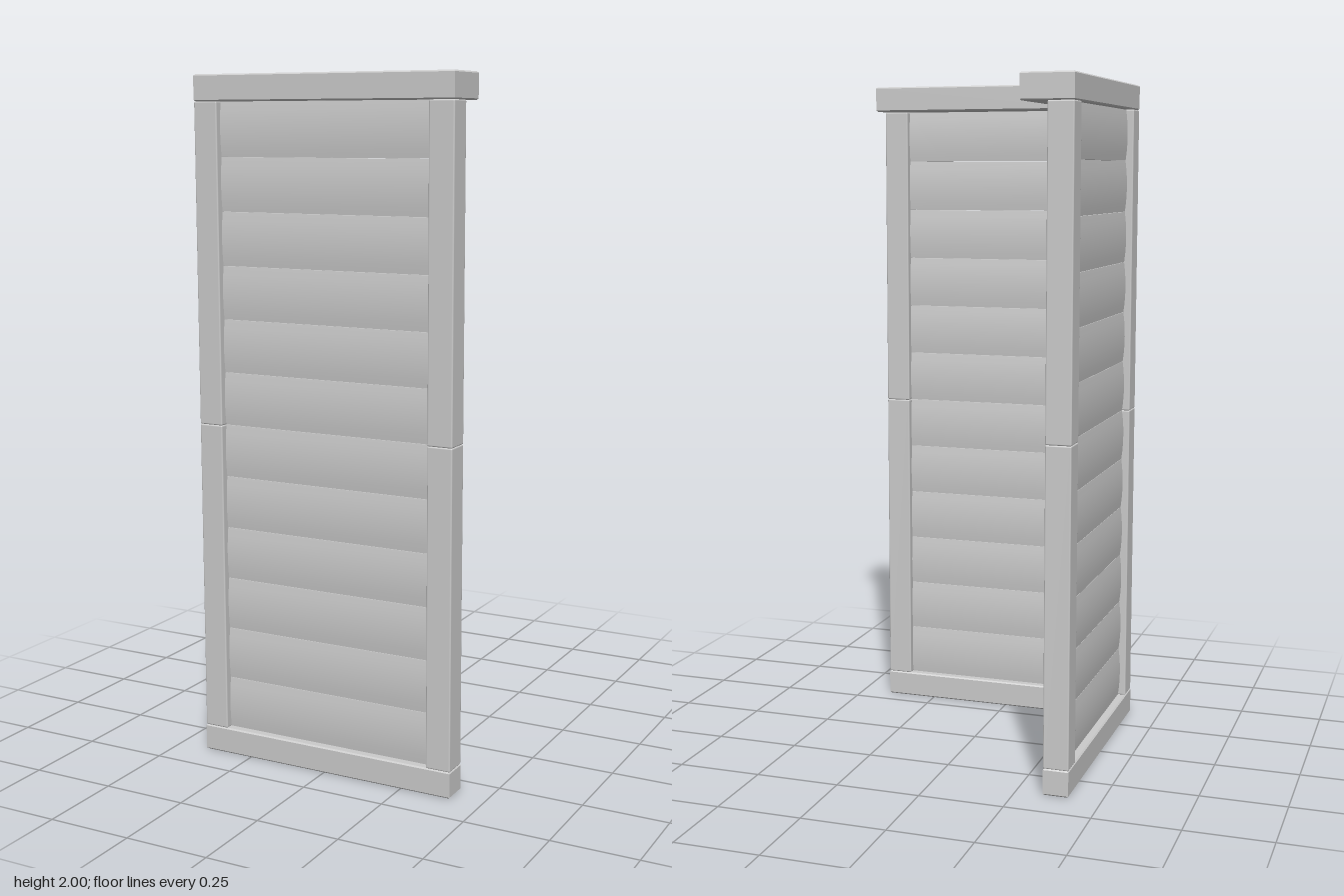
import * as THREE from 'three';
import { toCreasedNormals } from 'three/addons/utils/BufferGeometryUtils.js';
import { RoundedBoxGeometry } from 'three/addons/geometries/RoundedBoxGeometry.js';

const X = 0.405, Z = 0.385;        // half extents
const T = 0.075;                   // post thickness
const Y0 = 0.078, Y1 = 1.925;      // frame opening, bottom and top
const BOARDS = 12;
const BEVEL = 0.004;
const material = new THREE.MeshStandardMaterial({ color: 0xcccccc });

function add(group, name, geometry, x = 0, y = 0, z = 0) {
  const mesh = new THREE.Mesh(geometry, material);
  mesh.name = name;
  mesh.position.set(x, y, z);
  group.add(mesh);
  return mesh;
}

// L-shaped rail with softened edges, lying between two heights
function cornerRail(width, bottom, top) {
  const shape = new THREE.Shape([
    [-X, -Z], [-X + width, -Z], [-X + width, Z - width],
    [X, Z - width], [X, Z], [-X, Z],
  ].map(([x, z]) => new THREE.Vector2(x, z)));
  const geometry = new THREE.ExtrudeGeometry(shape, {
    depth: top - bottom - 2 * BEVEL, bevelEnabled: true, bevelSegments: 1,
    bevelSize: BEVEL, bevelOffset: -BEVEL, bevelThickness: BEVEL,
  });
  geometry.rotateX(Math.PI / 2).translate(0, top - BEVEL, 0);
  return toCreasedNormals(geometry, 0.6);
}

// Siding board running along z, both faces gently bulged
function boardGeometry(length, height) {
  const edge = 0.0135, bulge = 0.0055, steps = 6, points = [];
  for (const side of [1, -1]) {
    for (let i = 0; i <= steps; i++) {
      const t = (i / steps) * 2 - 1;
      points.push(new THREE.Vector2(side * (edge + bulge * (1 - t * t)), side * t * height / 2));
    }
  }
  const geometry = new THREE.ExtrudeGeometry(new THREE.Shape(points), { depth: length, bevelEnabled: false });
  geometry.translate(0, 0, -length / 2);
  return toCreasedNormals(geometry, 0.6);
}

export function createModel() {
  const model = new THREE.Group();
  model.name = 'cornerWall';

  // Wide cap above, narrow sill below
  add(model, 'topRail', cornerRail(0.152, Y1, 2));
  add(model, 'bottomRail', cornerRail(T, 0, Y0));

  // Posts, each stacked from two halves
  const posts = { cornerPost: [-X + T / 2, Z - T / 2], frontEndPost: [X - T / 2, Z - T / 2], backEndPost: [-X + T / 2, -Z + T / 2] };
  const half = (Y1 - Y0) / 2;
  const postHalf = new RoundedBoxGeometry(T, half, T, 2, BEVEL);
  for (const [name, [x, z]] of Object.entries(posts)) {
    const post = new THREE.Group();
    post.name = name;
    add(post, 'lowerHalf', postHalf, x, Y0 + half / 2, z);
    add(post, 'upperHalf', postHalf, x, Y1 - half / 2, z);
    model.add(post);
  }

  // Horizontal siding on both wings
  const pitch = (Y1 - Y0) / BOARDS;
  const frontBoard = boardGeometry(2 * (X - T) + 0.01, pitch - 0.001).rotateY(Math.PI / 2);
  const sideBoard = boardGeometry(2 * (Z - T) + 0.01, pitch - 0.001);
  const frontSiding = new THREE.Group();
  const sideSiding = new THREE.Group();
  frontSiding.name = 'frontSiding';
  sideSiding.name = 'sideSiding';
  for (let i = 0; i < BOARDS; i++) {
    const y = Y0 + (i + 0.5) * pitch;
    add(frontSiding, 'board', frontBoard, 0, y, Z - T / 2);
    add(sideSiding, 'board', sideBoard, -X + T / 2, y, 0);
  }
  model.add(frontSiding, sideSiding);
  return model;
}
